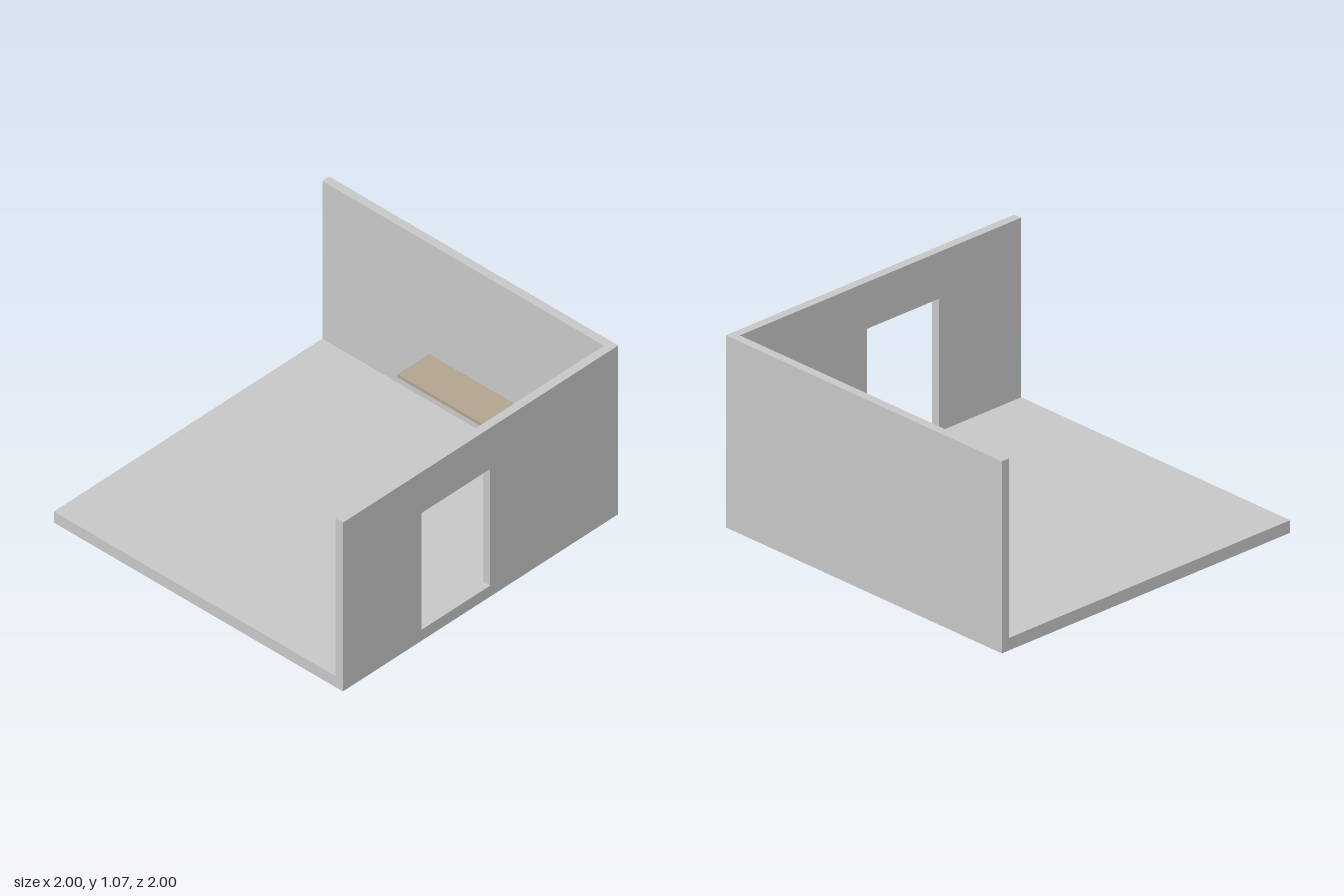
import * as THREE from 'three';

const plaster = new THREE.MeshStandardMaterial({ color: 0xc9c9c9 });
plaster.name = 'grey plaster';
const wood = new THREE.MeshStandardMaterial({ color: 0xb3a591 });
wood.name = 'pale wood';

const FLOOR = 0.07, TOP = 1.07, INNER = 0.95;

// Box given by its lowest and highest corners
function block(name, material, [x0, y0, z0], [x1, y1, z1]) {
  const mesh = new THREE.Mesh(new THREE.BoxGeometry(x1 - x0, y1 - y0, z1 - z0), material);
  mesh.position.set((x0 + x1) / 2, (y0 + y1) / 2, (z0 + z1) / 2);
  mesh.name = name;
  return mesh;
}

// Side wall drawn in profile (-z, y), with a doorway notched into its bottom edge
function doorWall() {
  const doorBack = -0.07, doorFront = 0.43, doorTop = 0.81;
  const profile = new THREE.Shape([
    [1, FLOOR], [doorFront, FLOOR], [doorFront, doorTop], [doorBack, doorTop],
    [doorBack, FLOOR], [-INNER, FLOOR], [-INNER, TOP], [1, TOP],
  ].map(([z, y]) => new THREE.Vector2(-z, y)));
  const geometry = new THREE.ExtrudeGeometry(profile, { depth: 1 - INNER, bevelEnabled: false });
  geometry.rotateY(Math.PI / 2).translate(INNER, 0, 0);
  const mesh = new THREE.Mesh(geometry, plaster);
  mesh.name = 'doorWall';
  return mesh;
}

export function createModel() {
  const room = new THREE.Group();
  room.name = 'room';
  room.add(
    block('floor', plaster, [-1, 0, -1], [1, FLOOR, 1]),
    block('backWall', plaster, [-1, FLOOR, -1], [1, TOP, -INNER]),
    doorWall(),
    block('shelf', wood, [-0.26, 0.35, -INNER], [0.47, 0.37, -0.72]),
  );
  return room;
}
